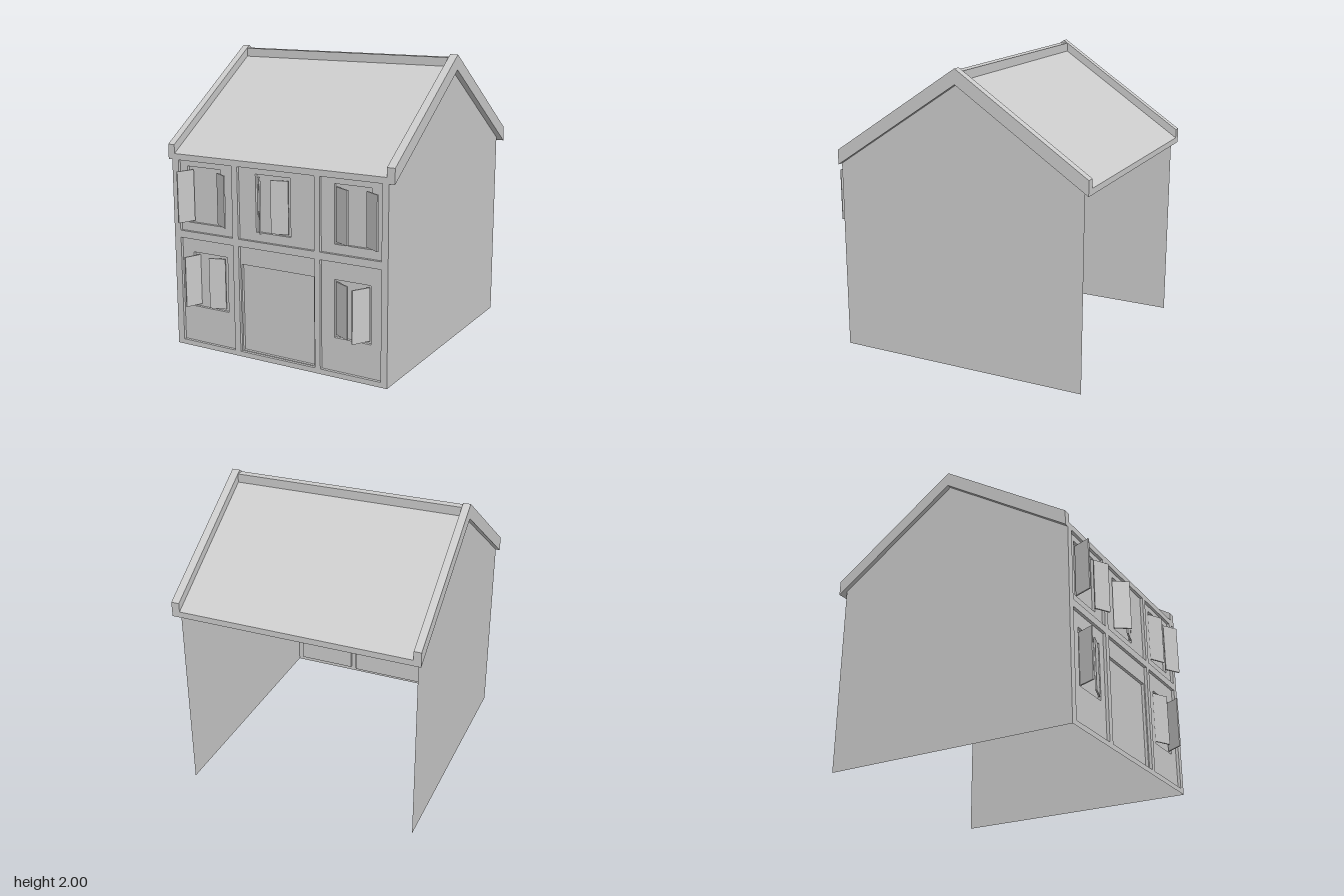
import * as THREE from 'three';

const material = new THREE.MeshStandardMaterial({ color: 0xcccccc, flatShading: true, side: THREE.DoubleSide });

// Depths of the three layers of the facade
const FACE = 0.855, PANEL = 0.835, NICHE = 0.815;
const LEFT = 0.805, RIGHT = -0.82;   // side walls
const RIDGE = -0.045;

const corners = ([x0, x1, y0, y1]) => [[x0, y0], [x1, y0], [x1, y1], [x0, y1]];
const toPoints = (list) => list.map(([x, y]) => new THREE.Vector2(x, y));

function add(parent, name, geometry) {
  const mesh = new THREE.Mesh(geometry, material);
  mesh.name = name;
  parent.add(mesh);
  return mesh;
}

// Flat sheet facing +z, with rectangular holes
function sheet(rect, z, holes = []) {
  const shape = new THREE.Shape(toPoints(corners(rect)));
  holes.forEach((h) => shape.holes.push(new THREE.Path(toPoints(corners(h).reverse()))));
  return new THREE.ShapeGeometry(shape).translate(0, 0, z);
}

// Four inward-facing sides of a recess between two depths
function reveal(rect, zFront, zBack) {
  const c = corners(rect), position = [];
  c.forEach(([ax, ay], i) => {
    const [bx, by] = c[(i + 1) % 4];
    const a = [ax, ay, zFront], b = [bx, by, zFront], d = [ax, ay, zBack], e = [bx, by, zBack];
    position.push(...a, ...b, ...e, ...a, ...e, ...d);
  });
  const geometry = new THREE.BufferGeometry();
  geometry.setAttribute('position', new THREE.Float32BufferAttribute(position, 3));
  geometry.computeVertexNormals();
  return geometry;
}

// Profile given as (z, y), extruded from x0 to x1
function alongX(profile, x0, x1) {
  const shape = new THREE.Shape(toPoints(profile));
  return new THREE.ExtrudeGeometry(shape, { depth: x1 - x0, bevelEnabled: false })
    .rotateY(-Math.PI / 2).translate(x1, 0, 0);
}

// Shutter board from its hinge (x, z) to its free edge (x, z)
function shutter(parent, name, [hx, hz, fx, fz], y0, y1) {
  const length = Math.hypot(fx - hx, fz - hz);
  const board = add(parent, name, new THREE.BoxGeometry(length, y1 - y0, 0.01));
  board.position.set((hx + fx) / 2, (y0 + y1) / 2, (hz + fz) / 2);
  board.rotation.y = -Math.atan2(fz - hz, fx - hx);
}

// Bays of the facade: recessed panel, the niche inside it, and open shutters
const bays = [
  { name: 'upperRight', panel: [-0.77, -0.34, 0.815, 1.3], niche: [-0.71, -0.44, 0.875, 1.26], y: [0.89, 1.24],
    shutters: [[-0.67, 0.825, -0.715, 0.943], [-0.46, 0.845, -0.362, 0.903]] },
  { name: 'upperMiddle', panel: [-0.295, 0.285, 0.815, 1.3], niche: [-0.165, 0.1, 0.875, 1.26], y: [0.89, 1.24],
    shutters: [[-0.148, 0.82, -0.075, 0.92], [0.085, 0.835, -0.028, 0.867]] },
  { name: 'upperLeft', panel: [0.325, 0.76, 0.815, 1.3], niche: [0.42, 0.68, 0.875, 1.26], y: [0.89, 1.24],
    shutters: [[0.43, 0.825, 0.54, 0.882], [0.655, 0.845, 0.758, 0.905]] },
  { name: 'lowerRight', panel: [-0.77, -0.34, 0.035, 0.765], niche: [-0.68, -0.4, 0.285, 0.67], y: [0.305, 0.655],
    shutters: [[-0.637, 0.82, -0.682, 0.93], [-0.42, 0.833, -0.53, 0.867]] },
  { name: 'door', panel: [-0.295, 0.285, 0.035, 0.765], niche: [-0.285, 0.27, 0.04, 0.64], shutters: [] },
  { name: 'lowerLeft', panel: [0.325, 0.76, 0.035, 0.765], niche: [0.42, 0.68, 0.26, 0.645], y: [0.28, 0.63],
    shutters: [[0.43, 0.825, 0.54, 0.882], [0.665, 0.825, 0.6, 0.935]] },
];

export function createModel() {
  const house = new THREE.Group();
  house.name = 'house';

  // Front wall: raised timber frame, panels set behind it, niches behind those
  const facade = new THREE.Group();
  facade.name = 'frontWall';
  house.add(facade);
  // upper holes stop just short of the top edge so the outline stays clean
  const holes = bays.map(({ panel: [a, b, c, d] }) => [a, b, c, Math.min(d, 1.299)]);
  add(facade, 'timberFrame', sheet([RIGHT, LEFT, 0, 1.3], FACE, holes));
  bays.forEach((bay, i) => {
    const group = new THREE.Group();
    group.name = bay.name + 'Bay';
    facade.add(group);
    add(group, 'panelReveal', reveal(holes[i], FACE, PANEL));
    add(group, 'panel', sheet(holes[i], PANEL, [bay.niche]));
    add(group, 'nicheReveal', reveal(bay.niche, PANEL, NICHE));
    add(group, bay.y ? 'windowPane' : 'doorPanel', sheet(bay.niche, NICHE));
    bay.shutters.forEach((s, j) => shutter(group, j ? 'leftShutter' : 'rightShutter', s, ...bay.y));
  });

  // Thin gable walls; the back and underside stay open
  const gable = [[-0.905, 0], [FACE, 0], [FACE, 1.3], [RIDGE, 1.9], [-0.905, 1.327]];
  for (const [name, x, turn] of [['leftWall', LEFT, 1], ['rightWall', RIGHT, -1]]) {
    const outline = toPoints(gable.map(([z, y]) => [-turn * z, y]));
    const wall = new THREE.ShapeGeometry(new THREE.Shape(outline));
    add(house, name, wall.rotateY(turn * Math.PI / 2).translate(x, 0, 0));
  }

  // Roof: sunken slopes with a square ridge cap, between two raised verges
  const roof = new THREE.Group();
  roof.name = 'roof';
  house.add(roof);
  const slopes = [[0.855, 1.3], [0.855, 1.34], [-0.018, 1.922], [-0.018, 1.98], [-0.074, 1.98],
    [-0.074, 1.921], [-0.945, 1.34], [-0.945, 1.3], [RIDGE, 1.9]];
  const verge = [[0.855, 1.3], [0.855, 1.4], [RIDGE, 2], [-0.945, 1.4], [-0.945, 1.3], [RIDGE, 1.9]];
  add(roof, 'roofSlopes', alongX(slopes, -0.8, 0.79));
  add(roof, 'leftVerge', alongX(verge, 0.79, 0.845));
  add(roof, 'rightVerge', alongX(verge, -0.85, -0.8));

  return house;
}
